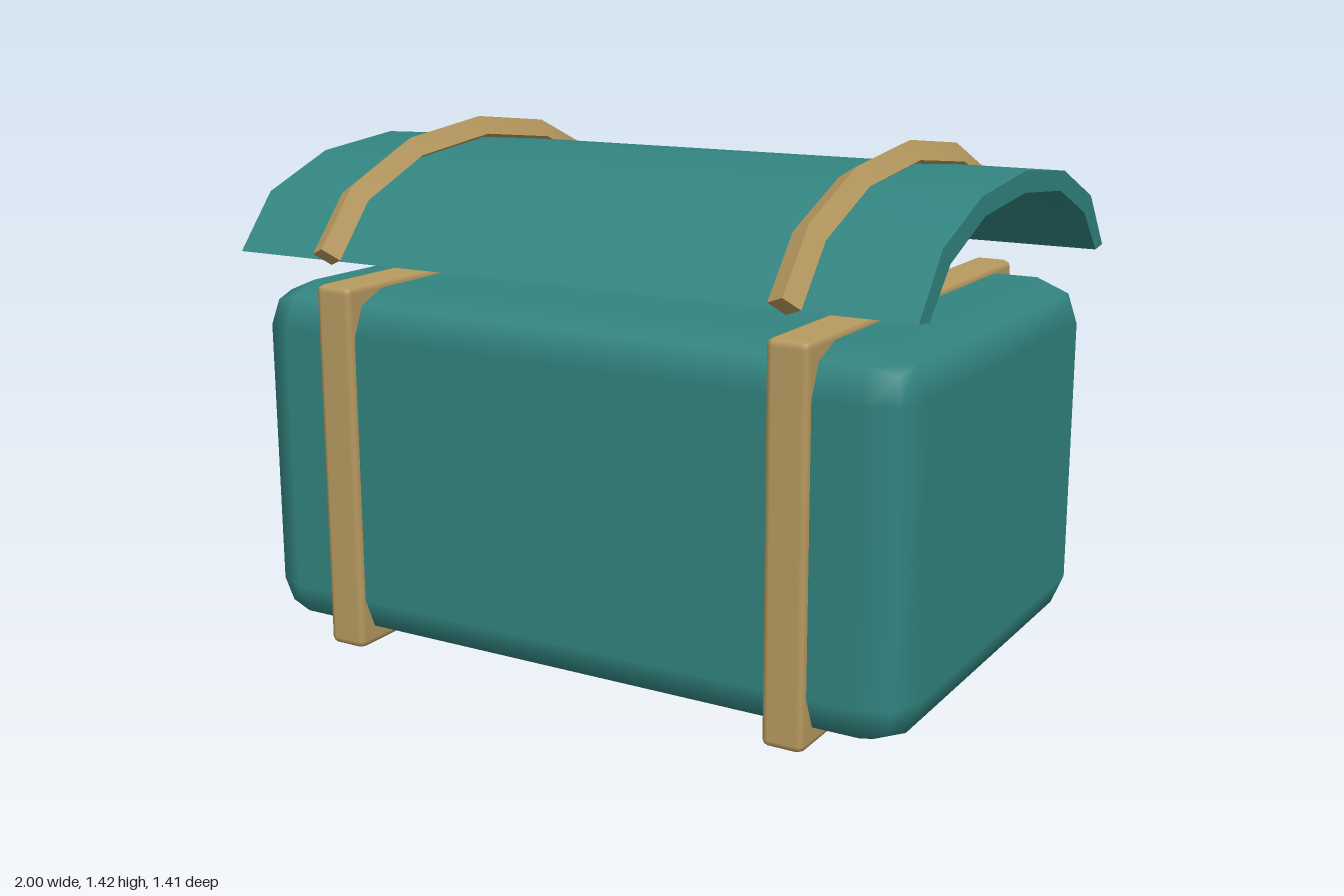
import * as THREE from 'three';
import { toCreasedNormals } from 'three/addons/utils/BufferGeometryUtils.js';
import { RoundedBoxGeometry } from 'three/addons/geometries/RoundedBoxGeometry.js';

const mat = (name, color) => {
  const m = new THREE.MeshStandardMaterial({ color });
  m.name = name;
  return m;
};

// mirror a half profile of [z, y] points, whose first point lies on z = 0
const mirrored = half => [...half.slice(1).reverse().map(([z, y]) => [-z, y]), ...half];

// sweep a section of [x, out] corners along a [z, y] path, with closed ends
function sweep(path, section) {
  const pos = [], idx = [], n = section.length, last = (path.length - 1) * n;
  path.forEach(([z, y], i) => {
    const a = path[Math.max(i - 1, 0)], b = path[Math.min(i + 1, path.length - 1)];
    const dz = b[0] - a[0], dy = b[1] - a[1], len = Math.hypot(dz, dy);
    for (const [x, out] of section) pos.push(x, y + out * dz / len, z - out * dy / len);
  });
  for (let i = 0; i < last; i += n) {
    for (let j = 0; j < n; j++) {
      const k = (j + 1) % n;
      idx.push(i + j, i + k, i + n + k, i + j, i + n + k, i + n + j);
    }
  }
  for (let j = 1; j < n - 1; j++) {
    idx.push(last, last + j, last + j + 1, 0, j + 1, j);
  }
  const g = new THREE.BufferGeometry();
  g.setAttribute('position', new THREE.Float32BufferAttribute(pos, 3));
  g.setIndex(idx);
  return toCreasedNormals(g, 0.7);
}

export function createModel() {
  const group = new THREE.Group();
  const teal = mat('teal', 0x328480);
  const tan = mat('tan', 0xb89a60);

  const add = (name, geometry, material, x = 0, y = 0, z = 0) => {
    const mesh = new THREE.Mesh(geometry, material);
    mesh.name = name;
    mesh.position.set(x, y, z);
    group.add(mesh);
  };

  // chest body
  add('body', new RoundedBoxGeometry(1.96, 0.98, 1.29, 1, 0.12), teal, 0, 0.51, 0);

  // curved lid shell floating above the body
  const outer = mirrored([[0, 1.36], [0.295, 1.33], [0.53, 1.238], [0.655, 1.087]]);
  const inner = mirrored([[0, 1.305], [0.27, 1.28], [0.48, 1.197], [0.595, 1.08]]);
  const profile = new THREE.Shape([...outer, ...inner.reverse()].map(p => new THREE.Vector2(...p)));
  const lid = new THREE.ExtrudeGeometry(profile, { depth: 2, bevelEnabled: false });
  lid.translate(0, 0, -1).rotateY(-Math.PI / 2);
  add('lid', toCreasedNormals(lid, 0.7), teal);

  // straps round the body, and slightly twisted square straps over the lid
  const lidPath = mirrored([[0, 1.38], [0.31, 1.346], [0.552, 1.246], [0.677, 1.1]]);
  const diamond = [[0.01, 0.04], [-0.04, 0.01], [-0.01, -0.04], [0.04, -0.01]];
  for (const side of [-1, 1]) {
    const label = side > 0 ? 'left' : 'right';
    add(label + 'BodyStrap', new RoundedBoxGeometry(0.115, 1.02, 1.33, 1, 0.02), tan, side * 0.678, 0.51, 0);
    add(label + 'LidStrap', sweep(lidPath, diamond), tan, side * 0.678, 0, 0);
  }

  // clasp on the back
  add('clasp', new RoundedBoxGeometry(0.26, 0.22, 0.1, 1, 0.02), tan, 0, 0.91, -0.648);

  // small flecks of metal below the clasp
  for (const [x, y, r] of [[0, 0.46, 0.025], [-0.1, 0.6, 0.008], [0.1, 0.6, 0.008]]) {
    const fleck = new THREE.CylinderGeometry(r, r, 0.004, 3).rotateX(-Math.PI / 2);
    add('fleck', fleck, tan, x, y, -0.645);
  }
  return group;
}
